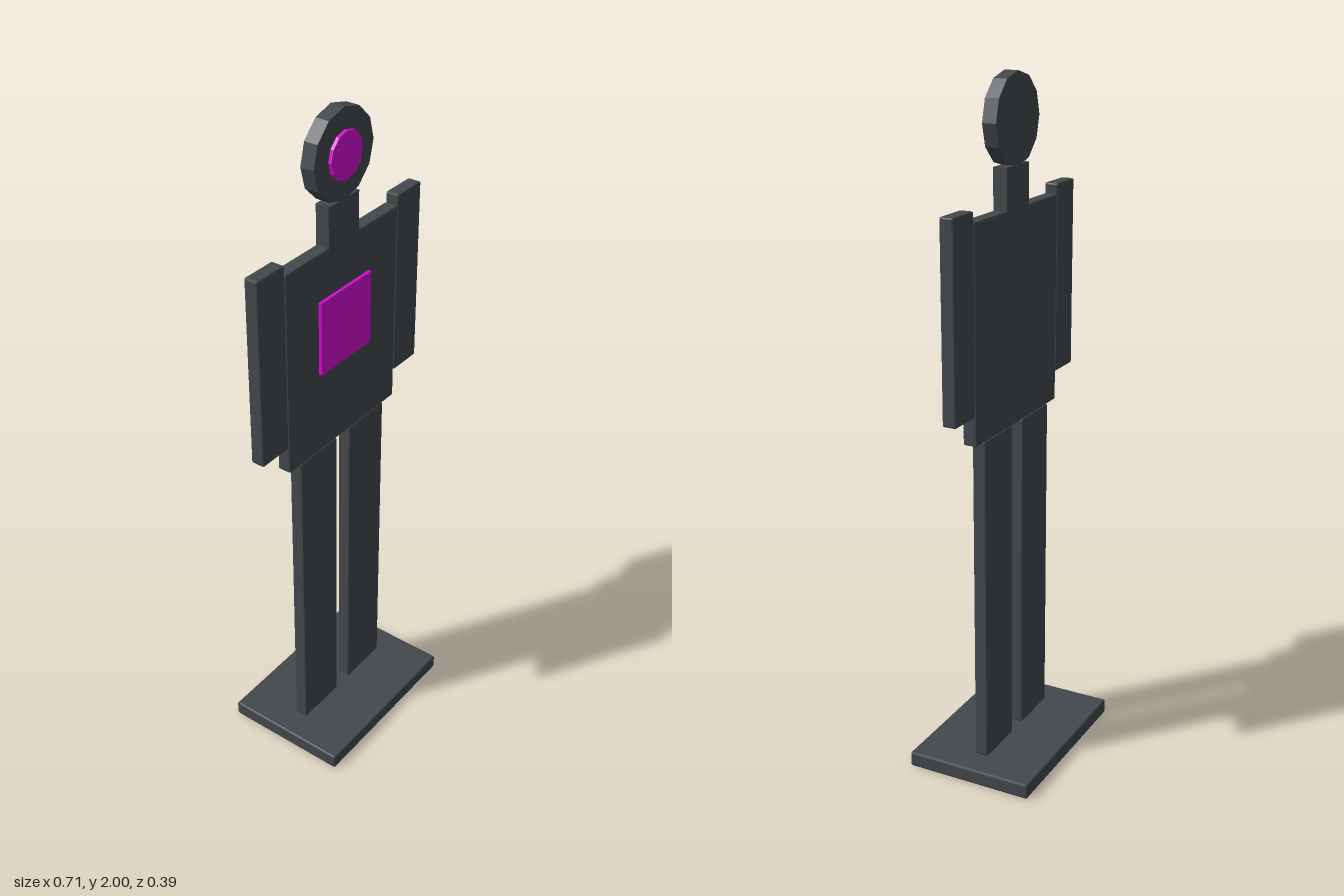
import * as THREE from 'three';
import { RoundedBoxGeometry } from 'three/addons/geometries/RoundedBoxGeometry.js';

export function createModel() {
  const model = new THREE.Group();
  model.name = 'targetFigure';

  const darkGrey = new THREE.MeshStandardMaterial({ color: 0x43484c });
  darkGrey.name = 'dark grey';
  const magenta = new THREE.MeshStandardMaterial({ color: 0xd20cd2 });
  magenta.name = 'magenta';

  const FRONT = 0.02; // front face of the flat figure
  const BACK = -0.021;

  function add(name, geometry, material, x, y, z) {
    const mesh = new THREE.Mesh(geometry, material);
    mesh.name = name;
    mesh.position.set(x, y, z);
    model.add(mesh);
    return mesh;
  }

  // Slab with small chamfered edges, given by its extents
  function slab(name, x0, x1, y0, y1, z0 = BACK, z1 = FRONT) {
    const geometry = new RoundedBoxGeometry(x1 - x0, y1 - y0, z1 - z0, 1, 0.005);
    geometry.computeVertexNormals(); // flat facets
    return add(name, geometry, darkGrey, (x0 + x1) / 2, (y0 + y1) / 2, (z0 + z1) / 2);
  }

  // Twelve-sided disc facing the front, with a corner at the top
  function disc(name, radius, y, z0, z1, material) {
    const indexed = new THREE.CylinderGeometry(radius, radius, z1 - z0, 12);
    indexed.rotateX(Math.PI / 2);
    const geometry = indexed.toNonIndexed();
    geometry.computeVertexNormals();
    return add(name, geometry, material, 0, y, (z0 + z1) / 2);
  }

  // Stand
  slab('base', -0.275, 0.275, 0, 0.045, -0.193, 0.193);

  // Legs and arms, mirrored
  for (const [side, s] of [['left', 1], ['right', -1]]) {
    const limb = (name, a, b, y0, y1) =>
      slab(side + name, Math.min(s * a, s * b), Math.max(s * a, s * b), y0, y1);
    limb('Leg', 0.03, 0.192, 0.045, 1.03);
    limb('Arm', 0.245, 0.353, 1.115, 1.67);
  }

  // Body, neck and head
  slab('torso', -0.243, 0.243, 1.03, 1.64);
  add('neck', new THREE.BoxGeometry(0.13, 0.12, FRONT - BACK), darkGrey, 0, 1.695, (FRONT + BACK) / 2);
  disc('head', 0.125, 1.875, BACK, FRONT, darkGrey);

  // Raised target plates
  add('chestTarget', new THREE.BoxGeometry(0.22, 0.22, 0.0098), magenta, 0, 1.392, FRONT + 0.0049);
  disc('headTarget', 0.066, 1.875, FRONT, FRONT + 0.0098, magenta);

  return model;
}
